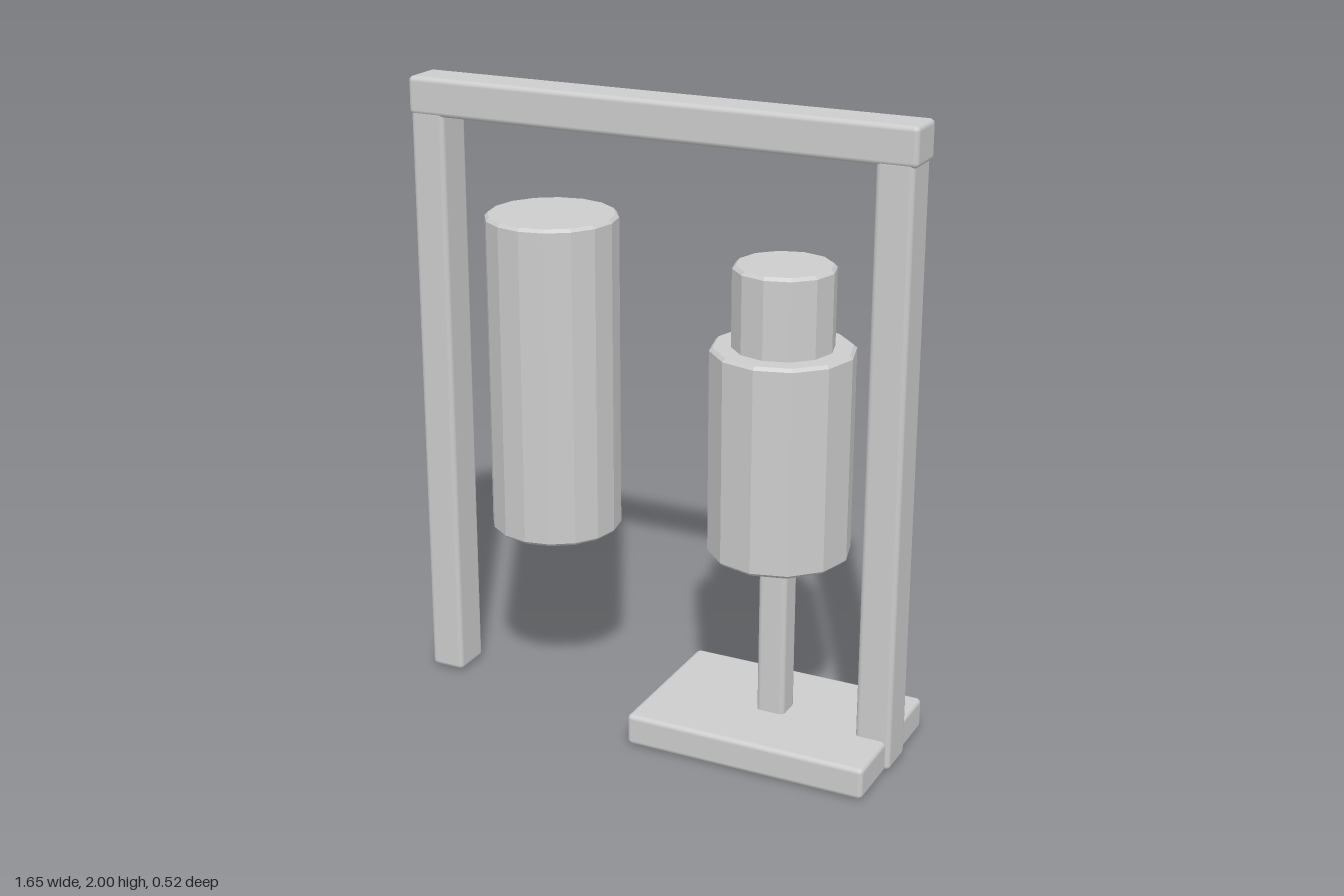
import * as THREE from 'three';
import { RoundedBoxGeometry } from 'three/addons/geometries/RoundedBoxGeometry.js';

export function createModel() {
  const group = new THREE.Group();
  group.name = 'punchingBagStand';
  const grey = new THREE.MeshStandardMaterial({ color: 0xcccccc });
  grey.name = 'light grey';

  function add(name, geometry, x, y, z) {
    const mesh = new THREE.Mesh(geometry, grey);
    mesh.name = name;
    mesh.position.set(x, y, z);
    group.add(mesh);
  }

  // Soft-edged block given by its x, y limits and its depth about z = 0
  function block(name, x0, x1, y0, y1, depth, radius = 0.016) {
    add(name, new RoundedBoxGeometry(x1 - x0, y1 - y0, depth, 2, radius),
      (x0 + x1) / 2, (y0 + y1) / 2, 0);
  }

  // Faceted upright cylinder with narrow chamfers at both rims
  function bag(name, x, y0, y1, r, sides, c = 0.01) {
    const profile = [[0, y0], [r - c, y0], [r, y0 + c], [r, y1 - c], [r - c, y1], [0, y1]]
      .map(([px, py]) => new THREE.Vector2(px, py));
    const geometry = new THREE.LatheGeometry(profile, sides).toNonIndexed();
    geometry.computeVertexNormals();
    add(name, geometry, x, 0, 0);
  }

  // Frame
  block('topBeam', -0.825, 0.825, 1.88, 2, 0.14);
  block('rightPost', -0.82, -0.705, 0.005, 1.9, 0.135);
  block('leftPost', 0.7, 0.815, 0.005, 1.9, 0.135);

  // Base plate with the short pole
  block('basePlate', 0.015, 0.8, 0, 0.103, 0.52);
  block('pole', 0.36, 0.453, 0.08, 0.597, 0.09);

  // Hanging bags
  bag('longBag', -0.367, 0.585, 1.607, 0.207, 16);
  bag('shortBag', 0.408, 0.637, 1.293, 0.22, 12);
  bag('shortBagNeck', 0.408, 1.25, 1.543, 0.155, 12);

  return group;
}
